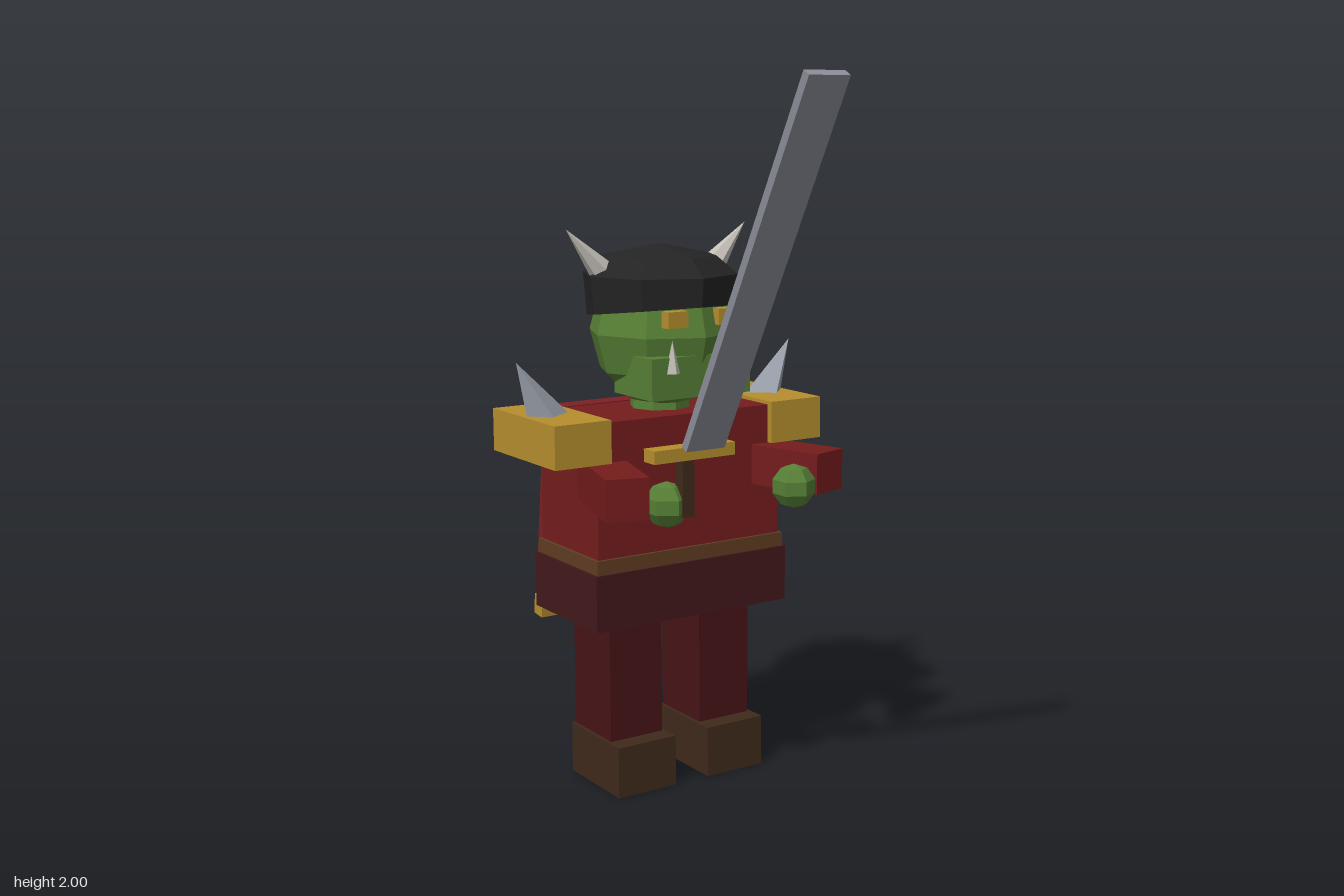
import * as THREE from 'three';

const BODY_Z = -0.386;

const mat = (color, extra = {}) => new THREE.MeshStandardMaterial({ color, flatShading: true, ...extra });
const M = {
  skin: mat(0x567f35), cloth: mat(0x741c1c), cape: mat(0x7a2024), trousers: mat(0x461416),
  skirt: mat(0x43181b), leather: mat(0x3f2a1c), belt: mat(0x5f3d22), gold: mat(0xb58e2e),
  hair: mat(0x242424, { side: THREE.DoubleSide }), bone: mat(0xc4c0b8), steel: mat(0x9aa0aa), blade: mat(0x8b8e98),
};

export function createModel() {
  const model = new THREE.Group();
  model.name = 'swordFighter';

  const add = (name, geometry, material, x, y, z, parent = model) => {
    const mesh = new THREE.Mesh(geometry, material);
    mesh.name = name;
    mesh.position.set(x, y, z);
    parent.add(mesh);
    return mesh;
  };
  const box = (name, material, [w, h, d], [x, y, z], parent) =>
    add(name, new THREE.BoxGeometry(w, h, d), material, x, y, z, parent);

  // Torso, belt, skirt and neck
  box('torso', M.cloth, [0.6, 0.39, 0.318], [0, 0.885, BODY_Z]);
  box('belt', M.belt, [0.62, 0.045, 0.338], [0, 0.678, BODY_Z]);
  box('skirt', M.skirt, [0.634, 0.16, 0.35], [0, 0.58, BODY_Z]);
  add('neck', new THREE.CylinderGeometry(0.08, 0.09, 0.12, 8), M.skin, 0, 1.1, BODY_Z);

  // Cape with a gold hem, leaning out towards the bottom
  const cape = new THREE.Group();
  cape.name = 'cape';
  cape.position.set(0, 1.085, -0.53);
  cape.rotation.x = 0.12;
  model.add(cape);
  box('capeCloth', M.cape, [0.574, 0.575, 0.04], [0, -0.2875, 0], cape);
  box('capeHem', M.gold, [0.58, 0.06, 0.046], [0, -0.605, 0], cape);

  // Head, jaw and cap of hair
  add('head', new THREE.SphereGeometry(0.216, 8, 6), M.skin, 0, 1.3, -0.362);
  box('jaw', M.skin, [0.322, 0.115, 0.2], [0, 1.193, -0.266]);
  const profile = [[0.215, 1.355], [0.224, 1.46], [0.163, 1.51], [0, 1.543]];
  const hairGeo = new THREE.LatheGeometry(profile.map(([r, y]) => new THREE.Vector2(r, y)), 8);
  // Lower rim rises towards the front
  const p = hairGeo.attributes.position;
  for (let i = 0; i < p.count; i++) {
    if (p.getY(i) < 1.4) p.setY(i, p.getY(i) + 0.12 * p.getZ(i));
  }
  add('hair', hairGeo, M.hair, 0, 0, -0.38);

  // Cone placed by its tip, leaning outwards by an angle
  const spike = (name, material, r, h, sides, side, [x, y], lean) => {
    const geo = new THREE.ConeGeometry(r, h, sides).translate(0, -h / 2, 0);
    add(name, geo, material, side * x, y, BODY_Z - 0.002).rotation.z = -side * lean;
  };

  // Mirrored parts
  for (const s of [1, -1]) {
    const side = s > 0 ? 'left' : 'right';
    box(side + 'Boot', M.leather, [0.19, 0.148, 0.266], [s * 0.15, 0.074, -0.36]);
    box(side + 'Leg', M.trousers, [0.17, 0.38, 0.202], [s * 0.15, 0.33, BODY_Z]);
    box(side + 'Arm', M.cloth, [0.118, 0.115, 0.38], [s * 0.278, 0.912, -0.2]).rotation.y = s * 0.28;
    const hand = add(side + 'Hand', new THREE.SphereGeometry(0.063, 6, 5), M.skin, s * 0.208, 0.885, -0.021);
    hand.rotation.y = Math.PI / 2;
    box(side + 'Pauldron', M.gold, [0.174, 0.12, 0.356], [s * 0.352, 1.03, BODY_Z]);
    spike(side + 'PauldronSpike', M.steel, 0.07, 0.22, 4, s, [0.455, 1.24], 0.5);
    spike(side + 'Horn', M.bone, 0.04, 0.18, 6, s, [0.295, 1.592], 0.75);
    box(side + 'Eye', M.gold, [0.065, 0.045, 0.035], [s * 0.082, 1.353, -0.173]);
    add(side + 'Tusk', new THREE.ConeGeometry(0.021, 0.09, 5), M.bone, s * 0.095, 1.252, -0.167);
  }

  // Sword held upright in the right hand, blade leaning forward
  const sword = new THREE.Group();
  sword.name = 'sword';
  model.add(sword);
  box('grip', M.leather, [0.036, 0.165, 0.036], [-0.175, 0.938, 0.016], sword);
  box('guard', M.gold, [0.25, 0.035, 0.052], [-0.175, 1.034, 0.041], sword);
  box('blade', M.blade, [0.118, 1.069, 0.024], [-0.175, 1.525, 0.361], sword).rotation.x = 0.5;

  return model;
}
